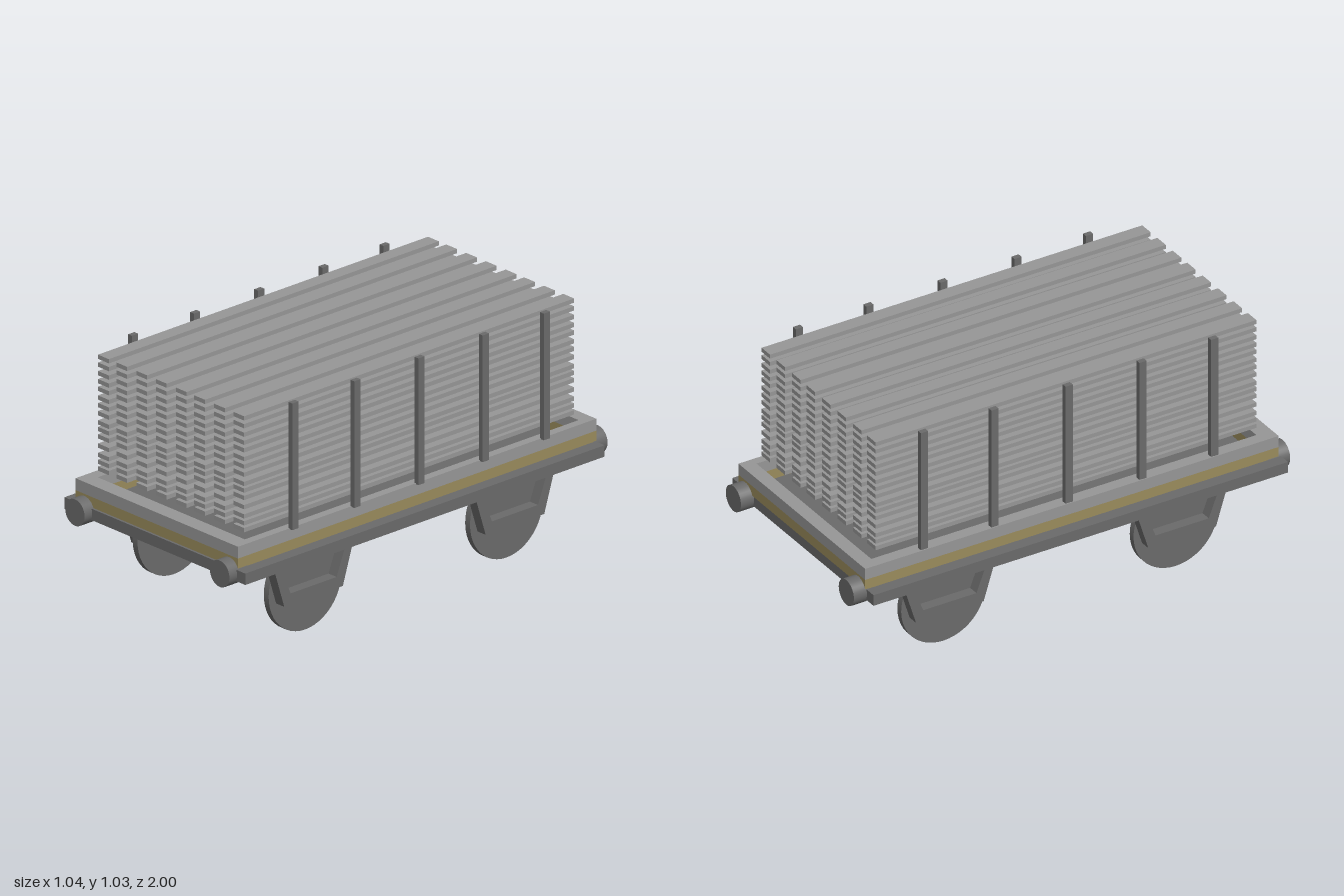
import * as THREE from 'three';

export function createModel() {
  const model = new THREE.Group();
  model.name = 'plankWagon';

  const material = (name, color) => {
    const m = new THREE.MeshStandardMaterial({ color });
    m.name = name;
    return m;
  };
  const lightGrey = material('lightGrey', 0x969696);
  const darkGrey = material('darkGrey', 0x6a6a6a);
  const ochre = material('ochre', 0x998b5c);

  const add = (name, geometry, mat, x = 0, y = 0, z = 0) => {
    const mesh = new THREE.Mesh(geometry, mat);
    mesh.name = name;
    mesh.position.set(x, y, z);
    model.add(mesh);
    return mesh;
  };
  const polygon = (points) => new THREE.Shape(points.map(([a, b]) => new THREE.Vector2(a, b)));

  // Flat chassis under the bed
  add('chassis', new THREE.BoxGeometry(1.04, 0.048, 1.9), darkGrey, 0, 0.381, 0.01);

  // Two stacked rims around the bed, open in the middle
  const rim = (name, bottom, height, mat) => {
    const shape = polygon([[-0.467, -0.95], [0.467, -0.95], [0.467, 0.945], [-0.467, 0.945]]);
    shape.holes.push(polygon([[-0.415, -0.88], [-0.415, 0.885], [0.43, 0.885], [0.43, -0.88]]));
    const geometry = new THREE.ExtrudeGeometry(shape, { depth: height, bevelEnabled: false });
    geometry.rotateX(-Math.PI / 2);
    add(name, geometry, mat, 0, bottom, 0);
  };
  rim('lowerRim', 0.405, 0.044, ochre);
  rim('upperRim', 0.449, 0.05, lightGrey);

  // Stacked load of planks
  const layers = [0.538, 0.567, 0.596, 0.635, 0.674, 0.705, 0.733, 0.772,
    0.806, 0.838, 0.875, 0.907, 0.941, 0.977, 1.01];
  const columns = [-0.38, -0.275, -0.16, -0.047, 0.067, 0.173, 0.287, 0.398];
  const plank = new THREE.BoxGeometry(0.062, 0.018, 1.745);
  for (const y of layers) {
    for (const x of columns) add('plank', plank, lightGrey, x, y, 0.01);
  }

  // Side stakes holding the load
  const stake = new THREE.BoxGeometry(0.022, 0.535, 0.033);
  for (const z of [0.66, 0.332, -0.007, -0.347, -0.67]) {
    for (const x of [-0.451, 0.471]) add('stake', stake, darkGrey, x, 0.763, z);
  }

  // Buffers at both ends
  const buffer = (z0, z1) => {
    const geometry = new THREE.CylinderGeometry(0.056, 0.056, z1 - z0, 32);
    geometry.rotateX(Math.PI / 2);
    for (const x of [-0.416, 0.416]) add('buffer', geometry, darkGrey, x, 0.384, (z0 + z1) / 2);
  };
  buffer(0.9, 1);
  buffer(-1, -0.93);

  // Disc wheels and their trapezoid hangers
  const wheel = new THREE.CylinderGeometry(0.193, 0.193, 0.028, 48);
  wheel.rotateZ(Math.PI / 2);
  const hanger = new THREE.ExtrudeGeometry(
    polygon([[-0.218, 0.36], [-0.155, 0.16], [0.155, 0.16], [0.218, 0.36],
      [0.182, 0.36], [0.122, 0.207], [-0.122, 0.207], [-0.182, 0.36]]),
    { depth: 0.047, bevelEnabled: false }
  );
  hanger.translate(0, 0, -0.0235);
  hanger.rotateY(-Math.PI / 2);
  for (const z of [0.525, -0.54]) {
    for (const side of [-1, 1]) {
      add('wheel', wheel, darkGrey, side * 0.377, 0.198, z);
      add('wheelHanger', hanger, darkGrey, side * 0.416, 0, z);
    }
  }

  return model;
}
